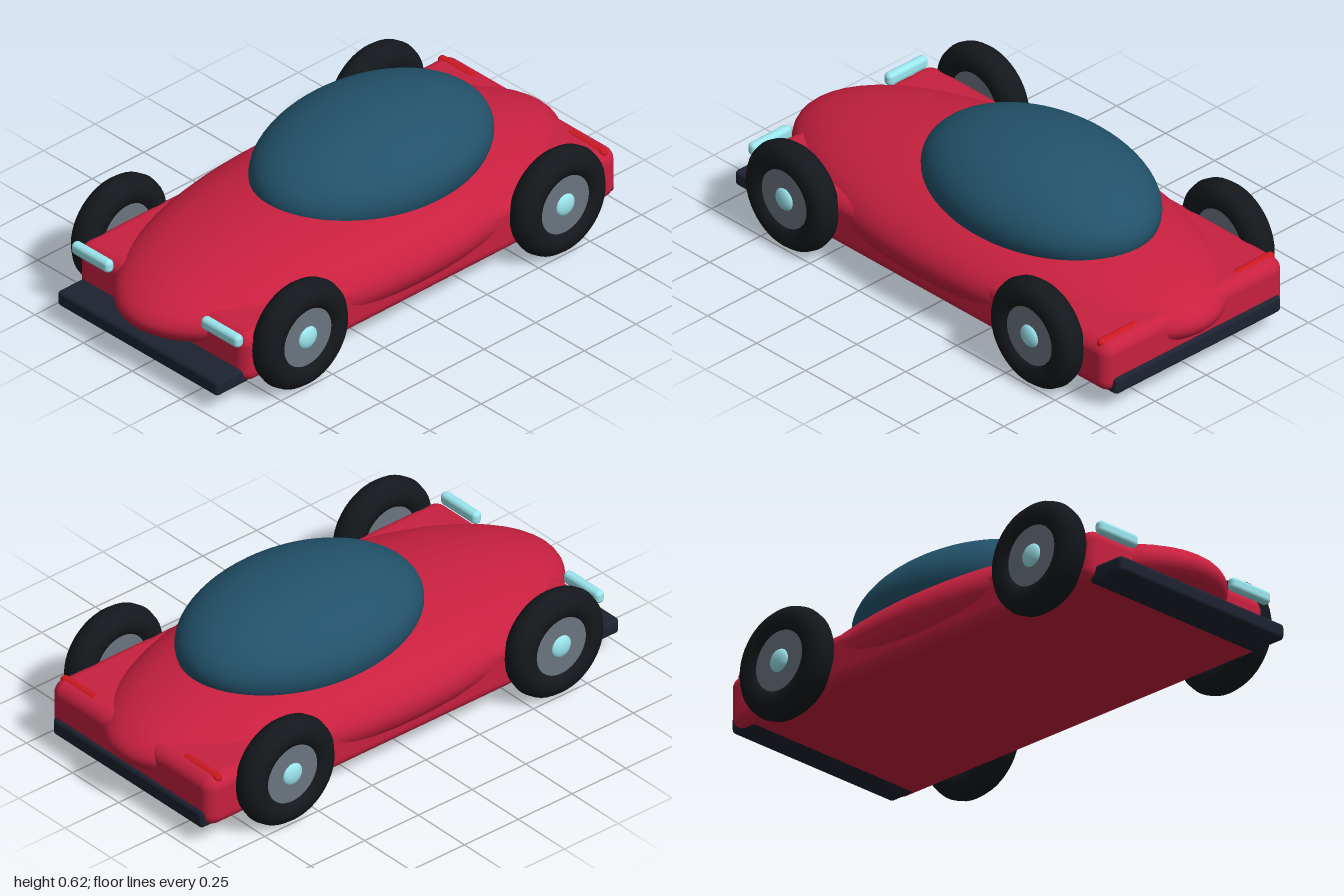
import * as THREE from 'three';
import { RoundedBoxGeometry } from 'three/addons/geometries/RoundedBoxGeometry.js';

const paint = (color) => new THREE.MeshStandardMaterial({ color });
const RED = paint(0xc8203f), GLASS = paint(0x22526a), RUBBER = paint(0x14181c);
const TRIM = paint(0x1c2230), RIM = paint(0x6b7480), LAMP = paint(0x9be6ee), TAIL = paint(0xcc1820);

function add(parent, name, geometry, material, x, y, z) {
  const mesh = new THREE.Mesh(geometry, material);
  mesh.name = name;
  mesh.position.set(x, y, z);
  parent.add(mesh);
  return mesh;
}

const ellipsoid = (rx, ry, rz, w = 64, h = 40) => new THREE.SphereGeometry(1, w, h).scale(rx, ry, rz);
const roundedBox = (w, h, d, r) => new RoundedBoxGeometry(w, h, d, 5, r);

// Wheel with its outer face towards +x
function makeWheel(name, side) {
  const wheel = new THREE.Group();
  wheel.name = name;
  add(wheel, 'tyre', new THREE.TorusGeometry(0.155, 0.058, 14, 48).rotateY(Math.PI / 2), RUBBER, 0, 0, 0);
  add(wheel, 'rim', new THREE.CylinderGeometry(0.125, 0.125, 0.08, 40).rotateZ(Math.PI / 2), RIM, 0, 0, 0);
  add(wheel, 'hubCap', ellipsoid(0.018, 0.044, 0.044, 24, 16), LAMP, side * 0.038, 0, 0);
  return wheel;
}

export function createModel() {
  const car = new THREE.Group();
  car.name = 'car';

  // Streamlined hull over a low rounded chassis
  add(car, 'hull', ellipsoid(0.47, 0.206, 1), RED, 0, 0.215, 0);
  add(car, 'chassis', roundedBox(0.876, 0.205, 1.81, 0.05), RED, 0, 0.177, -0.045);
  add(car, 'canopy', ellipsoid(0.346, 0.215, 0.5), GLASS, 0, 0.41, -0.16);

  // Bumpers
  add(car, 'frontBumper', roundedBox(0.825, 0.062, 0.16, 0.016), TRIM, 0, 0.104, 0.898);
  add(car, 'rearBumper', roundedBox(0.81, 0.068, 0.12, 0.016), TRIM, 0, 0.106, -0.903);

  // Paired lamps and wheels
  for (const side of [1, -1]) {
    const label = side > 0 ? 'left' : 'right';
    add(car, label + 'Headlight', roundedBox(0.193, 0.05, 0.038, 0.017), LAMP, side * 0.333, 0.27, 0.878);
    add(car, label + 'TailLight', roundedBox(0.19, 0.032, 0.032, 0.015), TAIL, side * 0.333, 0.269, -0.895);
    for (const [end, z] of [['Front', 0.625], ['Rear', -0.625]]) {
      const wheel = makeWheel(label + end + 'Wheel', side);
      wheel.position.set(side * 0.465, 0.214, z);
      car.add(wheel);
    }
  }
  return car;
}
